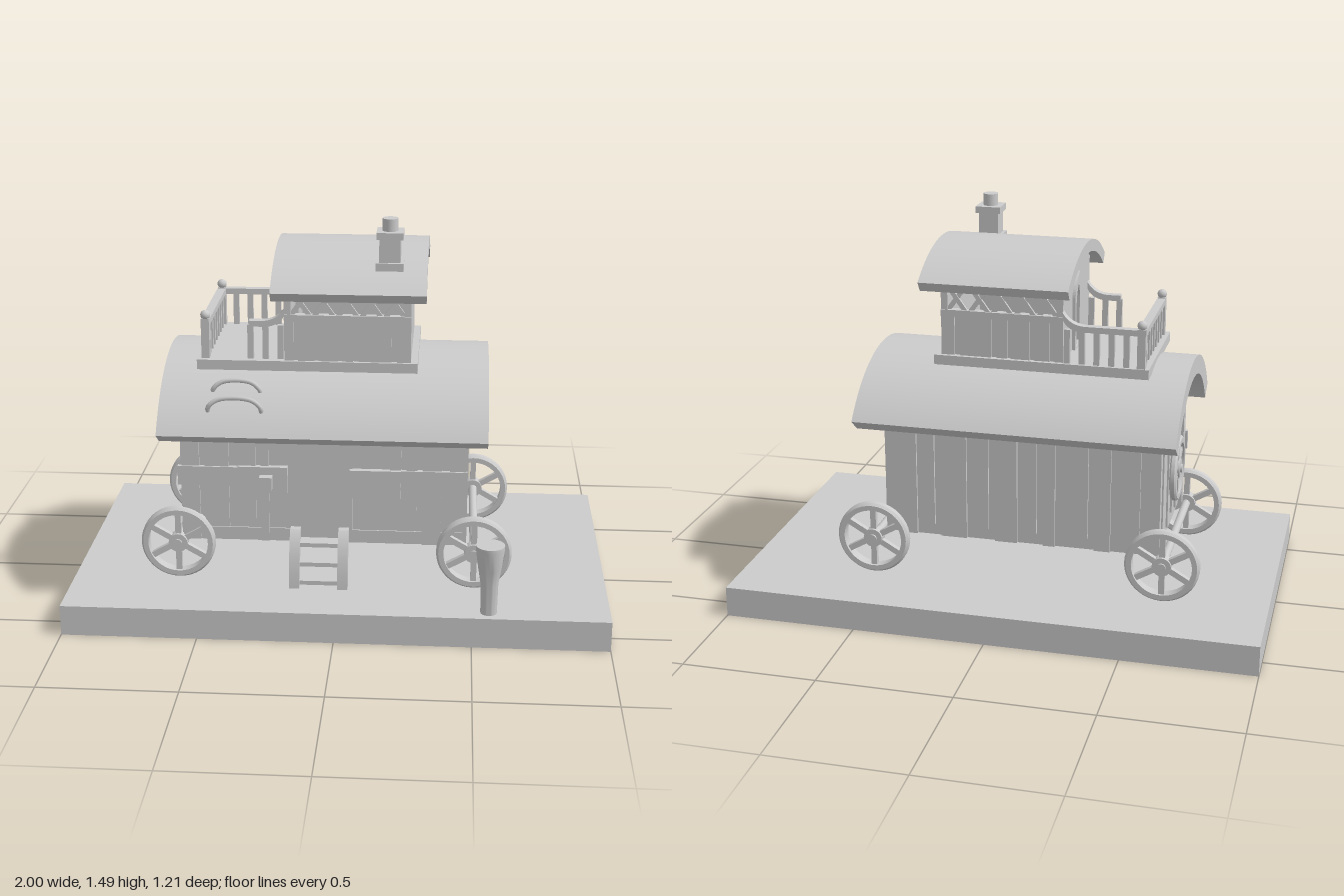
import * as THREE from 'three';
import { toCreasedNormals } from 'three/addons/utils/BufferGeometryUtils.js';

const material = new THREE.MeshStandardMaterial({ color: 0xcccccc });

function add(parent, name, geometry, x = 0, y = 0, z = 0) {
  const mesh = new THREE.Mesh(geometry, material);
  mesh.name = name;
  mesh.position.set(x, y, z);
  parent.add(mesh);
  return mesh;
}

// Box given by its limits on each axis
function box(parent, name, x0, x1, y0, y1, z0, z1) {
  return add(parent, name, new THREE.BoxGeometry(x1 - x0, y1 - y0, z1 - z0),
    (x0 + x1) / 2, (y0 + y1) / 2, (z0 + z1) / 2);
}

// Profile drawn with (-z, y), extruded along x
function extrudeX(shape, x0, x1) {
  const g = new THREE.ExtrudeGeometry(shape, { depth: x1 - x0, bevelEnabled: false, curveSegments: 32 });
  g.rotateY(Math.PI / 2).translate(x0, 0, 0);
  return toCreasedNormals(g, 0.5);
}

// Curved roof slab, slightly tilted towards the front
function archRoof(z, y, r, thickness, half, tilt) {
  const a = Math.PI / 2 - half + tilt, b = Math.PI / 2 + half + tilt;
  const s = new THREE.Shape();
  s.absarc(-z, y, r, a, b, false);
  s.absarc(-z, y, r - thickness, b, a, true);
  s.closePath();
  return s;
}

// Wall outline with an arched top
function archWall(z0, z1, bottom, cz, cy, r) {
  const s = new THREE.Shape();
  s.moveTo(-z1, bottom);
  s.lineTo(-z0, bottom);
  s.absarc(-cz, cy, r, Math.acos((cz - z0) / r), Math.acos((cz - z1) / r), false);
  s.closePath();
  return s;
}

function wheel(name, r, width) {
  const g = new THREE.Group();
  g.name = name;
  const ring = new THREE.LatheGeometry([
    [r - 0.027, -width / 2], [r - 0.008, -width / 2], [r, -width / 4], [r, width / 4],
    [r - 0.008, width / 2], [r - 0.027, width / 2], [r - 0.027, -width / 2],
  ].map(p => new THREE.Vector2(...p)), 40);
  ring.rotateX(Math.PI / 2);
  add(g, 'rim', toCreasedNormals(ring, 0.6));
  const hub = new THREE.CylinderGeometry(0.036, 0.036, width, 20).rotateX(Math.PI / 2);
  add(g, 'hub', hub);
  add(g, 'axleCap', new THREE.CylinderGeometry(0.016, 0.016, width + 0.014, 14).rotateX(Math.PI / 2));
  for (let i = 0; i < 3; i++) {
    add(g, 'spokePair', new THREE.BoxGeometry(0.022, 2 * r - 0.03, width * 0.5)).rotation.z = i * Math.PI / 3;
  }
  return g;
}

function lowerHouse(group) {
  const cz = -0.005, cy = 0.422;
  add(group, 'body', extrudeX(archWall(-0.265, 0.295, 0.265, cz, cy, 0.462), -0.575, 0.46));
  add(group, 'lowerRoof', extrudeX(archRoof(cz, cy, 0.527, 0.072, 0.935, 0.036), -0.655, 0.545));

  // Stepped boards on both ends
  const ends = [[-0.265, -0.225, 0.265], [-0.24, -0.185, 0.32], [-0.175, -0.125, 0.32], [-0.12, -0.07, 0.32],
    [0.025, 0.075, 0.32], [0.08, 0.145, 0.32], [0.15, 0.21, 0.32], [0.25, 0.295, 0.265]];
  ends.forEach(([a, b, y0], i) => {
    const far = Math.max(Math.abs(a - cz), Math.abs(b - cz));
    const top = cy + Math.sqrt(0.458 ** 2 - far ** 2);
    const d = 0.01 + (i % 2) * 0.006;
    box(group, 'endBoard', 0.455, 0.46 + d, y0, top, a, b);
    box(group, 'endBoard', -0.575 - d, -0.57, y0, top, a, b);
  });

  // Back boards of alternating width
  let x = -0.585;
  for (let i = 0; x < 0.42; i++) {
    const w = [0.05, 0.085, 0.06, 0.1, 0.045][i % 5];
    box(group, 'backBoard', x, Math.min(x + w, 0.47), i % 2 ? 0.31 : 0.265, 0.77, -0.275, -0.26);
    x += w + 0.025;
  }

  // Front boards, door and window frame
  [[-0.585, -0.52], [-0.5, -0.41], [-0.38, -0.31], [-0.29, -0.26], [0.19, 0.23], [0.25, 0.29], [0.31, 0.38], [0.41, 0.47]]
    .forEach(([a, b], i) => box(group, 'frontBoard', a, b, i % 3 ? 0.32 : 0.265, 0.76, 0.29, 0.305));
  box(group, 'frontDoor', -0.18, 0.05, 0.3, 0.75, 0.29, 0.302);
  box(group, 'frontSill', -0.575, 0.46, 0.265, 0.315, 0.29, 0.3);
  add(group, 'roundWindow', new THREE.CylinderGeometry(0.065, 0.065, 0.025, 32).rotateX(Math.PI / 2), -0.065, 0.67, 0.3);

  // Shutter planks and lamp box on the front
  box(group, 'leftPlank', -0.6, -0.375, 0.485, 0.56, 0.295, 0.312);
  box(group, 'leftPlankEnd', -0.375, -0.19, 0.462, 0.565, 0.295, 0.318);
  box(group, 'rightPlank', 0.23, 0.475, 0.485, 0.56, 0.295, 0.312);
  box(group, 'rightPlankEnd', 0.04, 0.23, 0.465, 0.56, 0.295, 0.318);
  box(group, 'lampBox', -0.292, -0.245, 0.485, 0.535, 0.31, 0.35);

  // Grab handles on the roof
  [[-0.375, 0.855, 0.29, 0.085], [-0.375, 0.81, 0.36, 0.095]].forEach(([hx, y, z, h]) => {
    const path = new THREE.CatmullRomCurve3([[-h, -0.04, -0.01], [-h, 0.005, 0.008], [-h * 0.6, 0.032, 0.004],
      [h * 0.6, 0.032, 0.004], [h, 0.005, 0.008], [h, -0.04, -0.01]].map(p => new THREE.Vector3(...p)));
    add(group, 'roofHandle', new THREE.TubeGeometry(path, 24, 0.009, 8), hx, y, z);
  });
}

function upperHouse(group) {
  const cz = 0.021, cy = 0.795;
  box(group, 'upperFloor', -0.52, 0.285, 0.93, 0.967, -0.215, 0.285);
  add(group, 'upperRoof', extrudeX(archRoof(cz, cy, 0.571, 0.045, 0.637, 0.029), -0.24, 0.315));
  add(group, 'rightEndWall', extrudeX(archWall(-0.2, 0.275, 0.96, cz, cy, 0.53), 0.235, 0.26));

  // Balcony wall with a pointed doorway
  const wall = archWall(-0.2, 0.275, 0.96, cz, cy, 0.53);
  const arch = (PathType, w, y0, top) => {
    const p = new PathType();
    p.moveTo(-0.035 - w, y0);
    p.lineTo(-0.035 - w, top - 0.09);
    p.quadraticCurveTo(-0.035 - w, top - 0.04, -0.035, top);
    p.quadraticCurveTo(-0.035 + w, top - 0.04, -0.035 + w, top - 0.09);
    p.lineTo(-0.035 + w, y0);
    p.closePath();
    return p;
  };
  wall.holes.push(arch(THREE.Path, 0.06, 0.968, 1.23));
  add(group, 'balconyWall', extrudeX(wall, -0.2, -0.175));
  const frame = arch(THREE.Shape, 0.075, 0.966, 1.255);
  frame.holes.push(arch(THREE.Path, 0.055, 0.972, 1.225));
  add(group, 'doorFrame', extrudeX(frame, -0.212, -0.195));

  // Side walls with boards, open lattice above
  [[-0.2, -1], [0.275, 1]].forEach(([z, s]) => {
    const slab = (name, a, b, y0, y1, inner, outer) =>
      box(group, name, a, b, y0, y1, Math.min(z + s * inner, z + s * outer), Math.max(z + s * inner, z + s * outer));
    slab('sideWall', -0.19, 0.25, 0.96, 1.115, -0.025, -0.008);
    slab('lowerRail', -0.2, 0.26, 1.115, 1.14, -0.025, 0.004);
    slab('upperRail', -0.2, 0.26, 1.225, 1.255, -0.025, 0);
    [[-0.2, -0.165], [-0.15, -0.09], [-0.075, -0.005], [0.01, 0.05], [0.07, 0.19], [0.21, 0.26]]
      .forEach(([a, b]) => slab('sideBoard', a, b, 0.96, 1.12, -0.02, 0));
    slab('cornerPost', -0.2, -0.18, 1.13, 1.24, -0.025, 0);
    slab('cornerPost', 0.24, 0.26, 1.13, 1.24, -0.025, 0);
    for (let i = 0; i < 5; i++) {
      for (const t of [-1, 1]) {
        const bar = add(group, 'latticeBar', new THREE.BoxGeometry(0.017, 0.12, 0.01), -0.142 + i * 0.086, 1.183, z - s * (0.01 + t * 0.002));
        bar.rotation.z = t * 0.62;
      }
    }
  });

  // Chimney
  box(group, 'chimney', 0.142, 0.218, 1.29, 1.42, 0.187, 0.263);
  box(group, 'chimneyFoot', 0.13, 0.23, 1.29, 1.335, 0.175, 0.275);
  box(group, 'chimneyCap', 0.132, 0.228, 1.42, 1.445, 0.177, 0.273);
  add(group, 'chimneyPipe', new THREE.CylinderGeometry(0.028, 0.028, 0.06, 20), 0.18, 1.46, 0.225);
}

function balcony(group) {
  const zBack = -0.195, zFront = 0.25, x0 = -0.49;
  const baluster = (x, z) => box(group, 'baluster', x - 0.011, x + 0.011, 0.96, 1.095, z - 0.009, z + 0.009);
  box(group, 'endRail', x0 - 0.016, x0 + 0.016, 1.09, 1.112, zBack, zFront);
  for (let i = 1; i < 8; i++) baluster(x0, zBack + (zFront - zBack) * i / 8);
  for (const z of [zBack, zFront]) {
    box(group, 'cornerPost', x0 - 0.015, x0 + 0.015, 0.96, 1.115, z - 0.015, z + 0.015);
    add(group, 'postBall', new THREE.SphereGeometry(0.018, 16, 12), x0, 1.127, z);
  }
  // Side rails sweep up to the house; the front one leaves a gap for climbing
  for (const [z, start] of [[zBack, x0], [zFront, -0.33]]) {
    const s = new THREE.Shape();
    s.moveTo(start, 1.09);
    s.lineTo(-0.27, 1.09);
    s.quadraticCurveTo(-0.215, 1.095, -0.2, 1.135);
    s.lineTo(-0.2, 1.16);
    s.quadraticCurveTo(-0.225, 1.115, -0.28, 1.112);
    s.lineTo(start, 1.112);
    s.closePath();
    add(group, 'sideRail', new THREE.ExtrudeGeometry(s, { depth: 0.03, bevelEnabled: false }), 0, 0, z - 0.015);
    for (let x = -0.215; x > start; x -= 0.055) baluster(x, z);
  }
}

function steps(group) {
  const s = new THREE.Shape();
  s.moveTo(-0.4, 0.115);
  s.quadraticCurveTo(-0.39, 0.27, -0.33, 0.325);
  s.lineTo(-0.29, 0.325);
  s.lineTo(-0.29, 0.3);
  s.quadraticCurveTo(-0.355, 0.25, -0.365, 0.115);
  s.closePath();
  add(group, 'leftStringer', extrudeX(s, 0, 0.038));
  add(group, 'rightStringer', extrudeX(s, -0.18, -0.142));
  [[0.125, 0.385], [0.195, 0.375], [0.265, 0.355]]
    .forEach(([y, z]) => box(group, 'tread', -0.145, 0.003, y, y + 0.016, z - 0.06, z));
}

export function createModel() {
  const model = new THREE.Group();
  model.name = 'wagonHouse';
  const part = (name, build) => {
    const g = new THREE.Group();
    g.name = name;
    build(g);
    model.add(g);
  };
  box(model, 'base', -1, 1, 0, 0.115, -0.605, 0.605);
  part('lowerHouse', lowerHouse);
  part('upperHouse', upperHouse);
  part('balcony', balcony);
  part('steps', steps);

  // Road wheels with axles, and a spare on the end wall
  [[-0.605, 0.307], [0.505, 0.336], [-0.605, -0.318], [0.505, -0.318]].forEach(([x, z]) => {
    const w = wheel('wheel', 0.14, 0.042);
    w.position.set(x, 0.255, z);
    model.add(w);
  });
  for (const x of [-0.605, 0.505]) {
    add(model, 'axle', new THREE.CylinderGeometry(0.016, 0.016, 0.62, 12).rotateX(Math.PI / 2), x, 0.255, 0);
  }
  const spare = wheel('spareWheel', 0.125, 0.026);
  spare.rotation.y = Math.PI / 2;
  spare.position.set(-0.605, 0.517, 0);
  model.add(spare);

  // Flared barrel beside the wagon
  const barrel = new THREE.LatheGeometry([[0, 0.115], [0.03, 0.115], [0.032, 0.23], [0.042, 0.29], [0.052, 0.365], [0.052, 0.38], [0, 0.38]]
    .map(p => new THREE.Vector2(...p)), 28);
  add(model, 'barrel', toCreasedNormals(barrel, 0.7), 0.56, 0, 0.55);
  return model;
}
